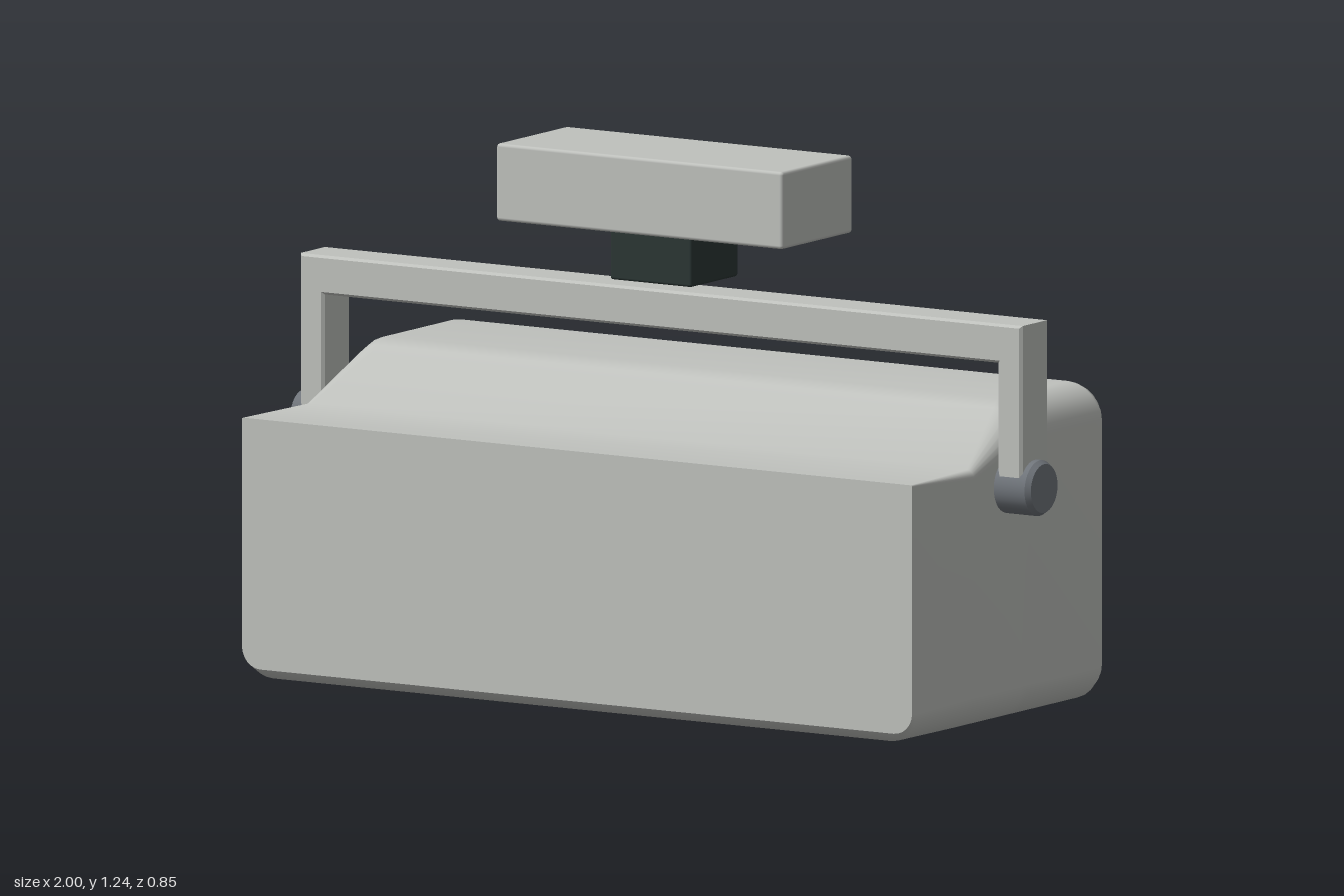
import * as THREE from 'three';
import { RoundedBoxGeometry } from 'three/addons/geometries/RoundedBoxGeometry.js';

const flat = (name, color, side = THREE.FrontSide) => {
  const m = new THREE.MeshStandardMaterial({ color, side });
  m.name = name;
  return m;
};

// Rounded rectangle outline, counter-clockwise seen from the front
function section(w, y0, y1, rTop, rBot) {
  const pts = [];
  const corner = (cx, cy, r, start) => {
    for (let i = 0; i <= 6; i++) {
      const a = start + (i / 6) * Math.PI / 2;
      pts.push(new THREE.Vector2(cx + r * Math.cos(a), cy + r * Math.sin(a)));
    }
  };
  corner(w - rBot, y0 + rBot, rBot, -Math.PI / 2);
  corner(w - rTop, y1 - rTop, rTop, 0);
  corner(-w + rTop, y1 - rTop, rTop, Math.PI / 2);
  corner(-w + rBot, y0 + rBot, rBot, Math.PI);
  return pts;
}

// Skin through sections given as [z, halfWidth, bottom, top, topRadius, bottomRadius]
function loft(rows) {
  const pos = [], index = [];
  const loops = rows.map(([z, ...s]) => ({ z, pts: section(...s) }));
  const n = loops[0].pts.length;
  loops.forEach(({ z, pts }) => pts.forEach(p => pos.push(p.x, p.y, z)));
  for (let s = 0; s < loops.length - 1; s++) {
    for (let i = 0; i < n; i++) {
      const a = s * n + i, b = s * n + (i + 1) % n;
      index.push(a, a + n, b, b, a + n, b + n);
    }
  }
  const g = new THREE.BufferGeometry();
  g.setAttribute('position', new THREE.Float32BufferAttribute(pos, 3));
  g.setIndex(index);
  g.computeVertexNormals();
  return g;
}

export function createModel() {
  const model = new THREE.Group();
  model.name = 'viewerHousing';
  const shell = flat('lightGrey', 0xbfc1bd);
  const dark = flat('darkGreenGrey', 0x2b3634);
  const metal = flat('steelGrey', 0x70757b);
  const lining = flat('paleBlueGrey', 0x969da2);

  const add = (name, geometry, material, x = 0, y = 0, z = 0) => {
    const mesh = new THREE.Mesh(geometry, material);
    mesh.name = name;
    mesh.position.set(x, y, z);
    model.add(mesh);
    return mesh;
  };
  const box = (name, mat, w, y0, y1, z0, z1, r) =>
    add(name, new RoundedBoxGeometry(2 * w, y1 - y0, z1 - z0, 2, r), mat, 0, (y0 + y1) / 2, (z0 + z1) / 2);

  // Housing: sharp at the front, rounding off toward the raised back and its rim
  const front = [0.42, 0.905, 0.025, 0.6, 0.004, 0.05];
  const opening = [0.77, 0.125, 0.585, 0.045, 0.045];
  add('housing', loft([
    front,
    [0.4, 0.905, 0.004, 0.6, 0.005, 0.07],
    [0.16, 0.905, 0, 0.6, 0.02, 0.08],
    [-0.04, 0.905, 0, 0.712, 0.075, 0.08],
    [-0.07, 0.905, 0, 0.728, 0.085, 0.08],
    [-0.365, 0.905, 0, 0.728, 0.085, 0.08],
    [-0.388, 0.897, 0.008, 0.72, 0.08, 0.075],
    [-0.4, 0.875, 0.03, 0.698, 0.07, 0.065],
    [-0.4, 0.785, 0.11, 0.6, 0.055, 0.055],
    [-0.39, ...opening],
  ]), shell);
  add('frontPanel', new THREE.ShapeGeometry(new THREE.Shape(section(...front.slice(1)))), shell, 0, 0, front[0]);

  // Recess behind the back opening: dark walls, pale lining, dark end wall
  add('recessWalls', loft([[-0.39, ...opening], [-0.07, ...opening]]), dark);
  add('recessLining', loft([[-0.07, ...opening], [0.17, ...opening]]), lining);
  const end = add('recessEnd', new THREE.ShapeGeometry(new THREE.Shape(section(...opening))), dark, 0, 0, 0.17);
  end.rotation.y = Math.PI;

  // Thin bar below the opening
  box('lowerBar', dark, 0.77, 0.1, 0.123, -0.425, -0.395, 0.004);

  // Handle: one U-shaped bracket
  const b = 0.006;
  const u = new THREE.Shape();
  [[-0.975 + b, 0.56], [-0.91 - b, 0.56], [-0.91 - b, 0.835 + b], [0.91 + b, 0.835 + b],
    [0.91 + b, 0.56], [0.975 - b, 0.56], [0.975 - b, 0.925 - b], [-0.975 + b, 0.925 - b]]
    .forEach(([x, y], i) => (i ? u.lineTo(x, y) : u.moveTo(x, y)));
  add('handle', new THREE.ExtrudeGeometry(u, {
    depth: 0.113 - 2 * b, bevelSize: b, bevelThickness: b, bevelSegments: 1,
  }), shell, 0, 0, -0.042 + b);

  // Pivot knobs at both sides
  const knob = [[0, 0], [0.064, 0], [0.064, 0], [0.064, 0.088], [0.064, 0.088], [0.056, 0.1], [0.056, 0.1], [0, 0.1]]
    .map(([r, y]) => new THREE.Vector2(r, y));
  for (const s of [1, -1]) {
    const k = add(s > 0 ? 'leftKnob' : 'rightKnob', new THREE.LatheGeometry(knob, 32), metal, s * 0.9, 0.547, 0.014);
    k.rotation.z = -s * Math.PI / 2;
  }

  // Floating mount above the handle
  box('mountNeck', dark, 0.11, 0.945, 1.06, -0.085, 0.112, 0.006);
  box('mountBlock', shell, 0.387, 1.062, 1.24, -0.135, 0.16, 0.008);

  return model;
}
